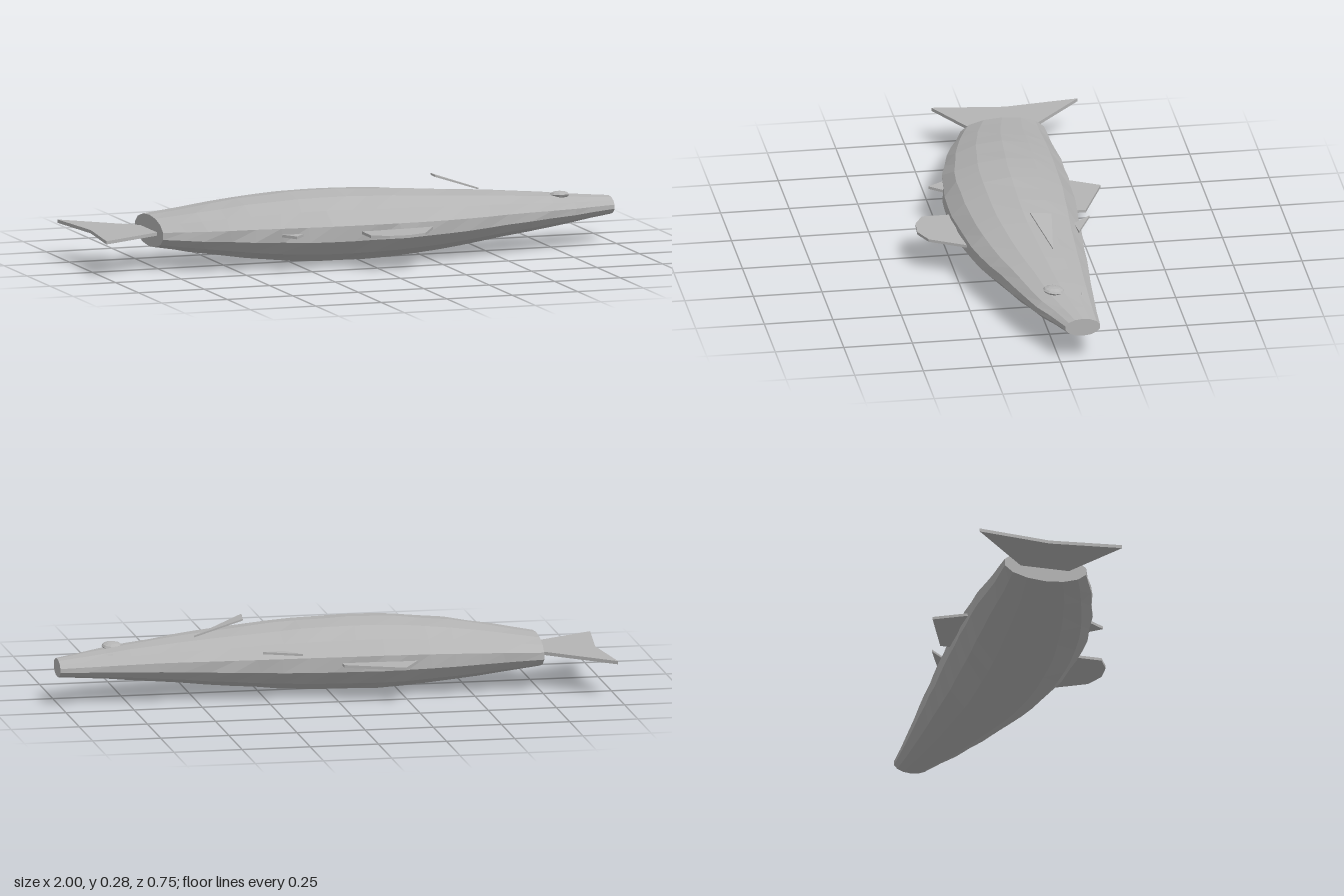
import * as THREE from 'three';

const grey = new THREE.MeshStandardMaterial({ color: 0xb4b4b4, flatShading: true });
grey.name = 'grey';

// small seeded generator for the hand-cut facets
let seed = 7;
const rand = () => ((seed = (seed * 16807) % 2147483647) / 2147483647) - 0.5;

// body stations: x, zMin, zMax, yMin, yMax
const STATIONS = [
  [-0.76, -0.22, 0.085, 0.075, 0.19],
  [-0.6, -0.222, 0.15, 0.05, 0.215],
  [-0.4, -0.232, 0.206, 0.022, 0.244],
  [-0.2, -0.228, 0.236, 0.004, 0.258],
  [0, -0.22, 0.238, 0.004, 0.257],
  [0.2, -0.202, 0.222, 0.015, 0.246],
  [0.4, -0.188, 0.185, 0.035, 0.23],
  [0.6, -0.17, 0.13, 0.058, 0.212],
  [0.8, -0.156, 0.067, 0.08, 0.189],
  [1, -0.145, -0.018, 0.1, 0.166],
];

function bodyGeometry(rings = 20, sides = 14) {
  const zCurve = new THREE.CatmullRomCurve3(STATIONS.map(s => new THREE.Vector3(s[0], s[1], s[2])));
  const yCurve = new THREE.CatmullRomCurve3(STATIONS.map(s => new THREE.Vector3(s[0], s[3], s[4])));
  const pos = [], index = [];
  for (let i = 0; i <= rings; i++) {
    const z = zCurve.getPoint(i / rings), y = yCurve.getPoint(i / rings);
    const end = i === 0 || i === rings;
    for (let j = 0; j < sides; j++) {
      const a = ((j + 0.5) / sides) * Math.PI * 2;
      const k = end ? 1 : 1 + rand() * 0.025;
      pos.push(
        z.x + (end ? 0 : rand() * 0.02),
        (y.y + y.z) / 2 + (Math.sin(a) * k * (y.z - y.y)) / 2,
        (z.y + z.z) / 2 + (Math.cos(a) * k * 1.02 * (z.z - z.y)) / 2
      );
    }
  }
  // skin
  for (let i = 0; i < rings; i++) {
    for (let j = 0; j < sides; j++) {
      const a = i * sides + j, b = i * sides + ((j + 1) % sides);
      index.push(a, a + sides, b + sides, a, b + sides, b);
    }
  }
  // flat ends at tail and snout
  const last = rings * sides;
  for (let j = 1; j < sides - 1; j++) {
    index.push(0, j, j + 1, last, last + j + 1, last + j);
  }
  const g = new THREE.BufferGeometry();
  g.setAttribute('position', new THREE.Float32BufferAttribute(pos, 3));
  g.setIndex(index);
  const flat = g.toNonIndexed();
  flat.computeVertexNormals();
  return flat;
}

// flat plate from (x, z) outline points, centred on y = 0
function plate(points, thickness) {
  const shape = new THREE.Shape(points.map(([x, z]) => new THREE.Vector2(x, -z)));
  const g = new THREE.ExtrudeGeometry(shape, { depth: thickness, bevelEnabled: false });
  return g.translate(0, 0, -thickness / 2).rotateX(-Math.PI / 2);
}

export function createModel() {
  const fish = new THREE.Group();
  fish.name = 'fish';
  const add = (name, geometry, x = 0, y = 0, z = 0) => {
    const mesh = new THREE.Mesh(geometry, grey);
    mesh.name = name;
    mesh.position.set(x, y, z);
    fish.add(mesh);
    return mesh;
  };

  add('body', bodyGeometry());

  // fins lying in the middle plane of the body
  add('tailFin', plate([[-1, -0.38], [-0.76, -0.16], [-0.7, -0.11], [-0.7, -0.02], [-0.76, 0.02], [-1, 0.152], [-0.968, -0.11]], 0.012), 0, 0.132);
  add('dorsalFin', plate([[-0.31, -0.19], [-0.29, -0.235], [-0.23, -0.342], [-0.02, -0.255], [-0.02, -0.19]], 0.01), 0, 0.132);
  add('bellyFin', plate([[-0.055, 0.2], [-0.055, 0.338], [0.005, 0.37], [0.08, 0.375], [0.15, 0.345], [0.225, 0.215], [0.225, 0.19]], 0.01), 0, 0.132);
  add('analFin', plate([[-0.37, 0.18], [-0.345, 0.225], [-0.315, 0.272], [-0.27, 0.22], [-0.27, 0.18]], 0.01), 0, 0.132);

  // fins on the upper flank
  add('pelvicFin', plate([[0.13, -0.245], [0.265, -0.185], [0.19, -0.178]], 0.008), 0, 0.178);
  add('pectoralFin', plate([[0, 0], [0.01, -0.076], [0.195, -0.054]], 0.006), 0.308, 0.284, 0).rotation.z = -0.33;

  // eye and mouth ridge
  const eye = add('eye', new THREE.SphereGeometry(1, 10, 6), 0.785, 0.19, -0.01);
  eye.scale.set(0.038, 0.014, 0.04);
  eye.rotation.x = -0.12;
  const mouth = new THREE.QuadraticBezierCurve3(
    new THREE.Vector3(0.8, 0.176, -0.112),
    new THREE.Vector3(0.85, 0.17, -0.09),
    new THREE.Vector3(0.9, 0.167, -0.095)
  );
  add('mouth', new THREE.TubeGeometry(mouth, 5, 0.005, 5));

  return fish;
}
